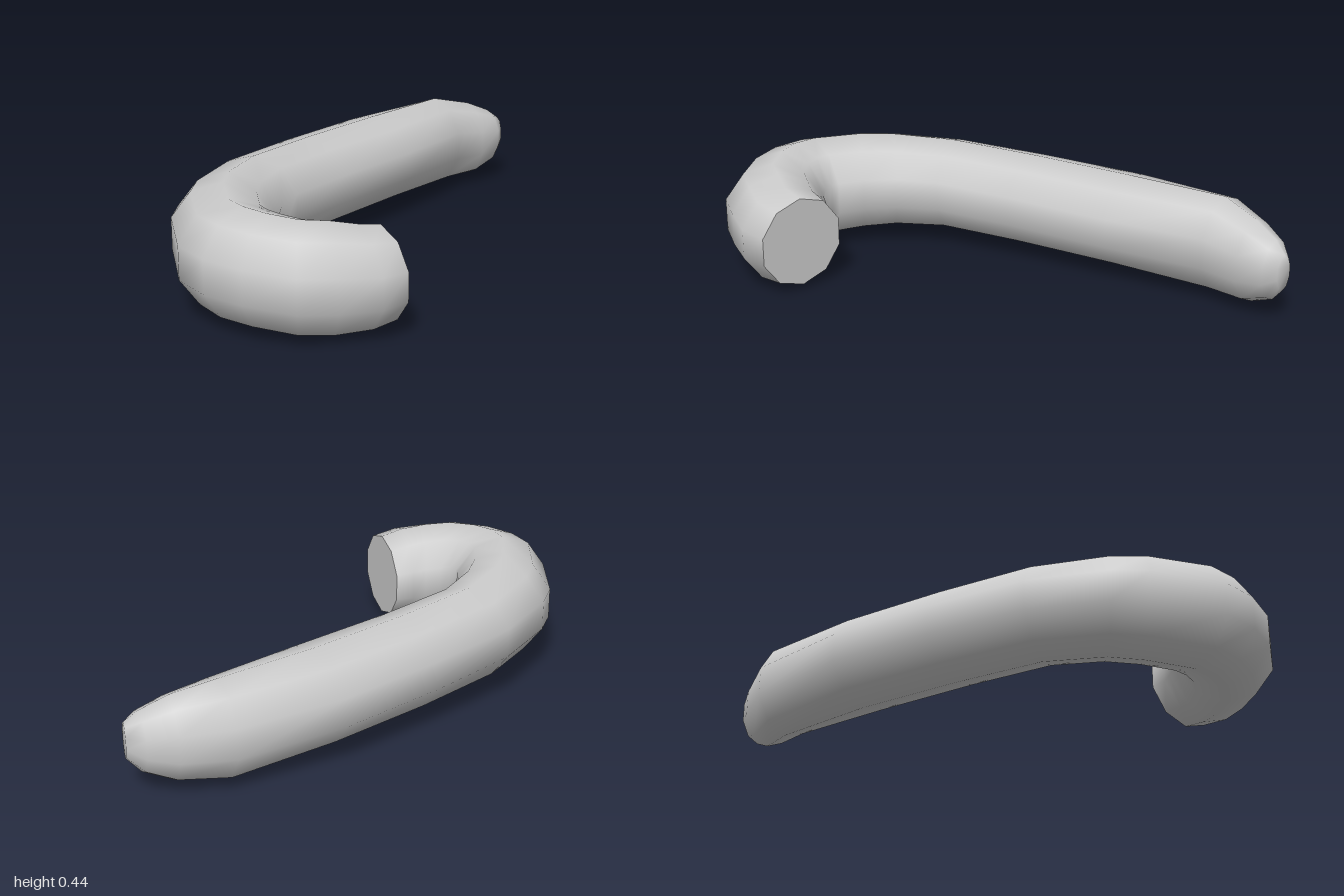
import * as THREE from 'three';

const SIDES = 10;

// Cross-sections from the cut end to the tip:
// outer x, outer z, inner x, inner z, bottom y, top y
const SECTIONS = [
  [0.12, 0.88, -0.05, 0.58, 0.02, 0.37],
  [0.03, 0.95, -0.12, 0.61, 0.01, 0.39],
  [-0.12, 0.98, -0.17, 0.615, 0.0, 0.41],
  [-0.26, 1.0, -0.23, 0.62, 0.01, 0.42],
  [-0.44, 0.93, -0.27, 0.605, 0.02, 0.43],
  [-0.57, 0.83, -0.3, 0.58, 0.02, 0.435],
  [-0.66, 0.7, -0.31, 0.55, 0.025, 0.435],
  [-0.7, 0.41, -0.315, 0.45, 0.035, 0.435],
  [-0.68, 0.27, -0.3, 0.32, 0.045, 0.43],
  [-0.56, -0.02, -0.24, 0.16, 0.05, 0.42],
  [-0.32, -0.34, -0.04, -0.09, 0.045, 0.41],
  [-0.04, -0.67, 0.24, -0.4, 0.04, 0.4],
  [0.29, -0.94, 0.48, -0.71, 0.02, 0.395],
  [0.48, -0.985, 0.6, -0.8, 0.03, 0.355],
  [0.59, -1.0, 0.68, -0.87, 0.075, 0.31],
  [0.67, -0.98, 0.7, -0.92, 0.13, 0.27],
];

// Ten-sided ring with flat inner and outer sides
function ring([ox, oz, ix, iz, y0, y1]) {
  const points = [];
  for (let j = 0; j < SIDES; j++) {
    const a = ((j + 0.5) / SIDES) * Math.PI * 2;
    const c = Math.cos(a) / Math.cos(Math.PI / SIDES) / 2;
    points.push(new THREE.Vector3(
      (ox + ix) / 2 + (ox - ix) * c,
      (y0 + y1) / 2 + ((y1 - y0) / 2) * Math.sin(a),
      (oz + iz) / 2 + (oz - iz) * c,
    ));
  }
  return points;
}

function makeMesh(name, points, index) {
  const geometry = new THREE.BufferGeometry().setFromPoints(points);
  geometry.setIndex(index);
  geometry.computeVertexNormals();
  const mesh = new THREE.Mesh(geometry, new THREE.MeshStandardMaterial({ color: 0xcccccc }));
  mesh.name = name;
  return mesh;
}

export function createModel() {
  const group = new THREE.Group();
  group.name = 'hook';
  const rings = SECTIONS.map(ring);

  // Smooth curved body, closed at the rounded tip
  const index = [];
  for (let i = 0; i < rings.length - 1; i++) {
    for (let j = 0; j < SIDES; j++) {
      const k = (j + 1) % SIDES;
      const a = i * SIDES + j, b = i * SIDES + k;
      index.push(a, b, a + SIDES, b, b + SIDES, a + SIDES);
    }
  }
  const last = (rings.length - 1) * SIDES;
  for (let j = 1; j < SIDES - 1; j++) index.push(last, last + j, last + j + 1);
  group.add(makeMesh('curvedBody', rings.flat(), index));

  // Flat cut end
  const capIndex = [];
  for (let j = 1; j < SIDES - 1; j++) capIndex.push(0, j + 1, j);
  group.add(makeMesh('cutEnd', rings[0], capIndex));

  return group;
}
